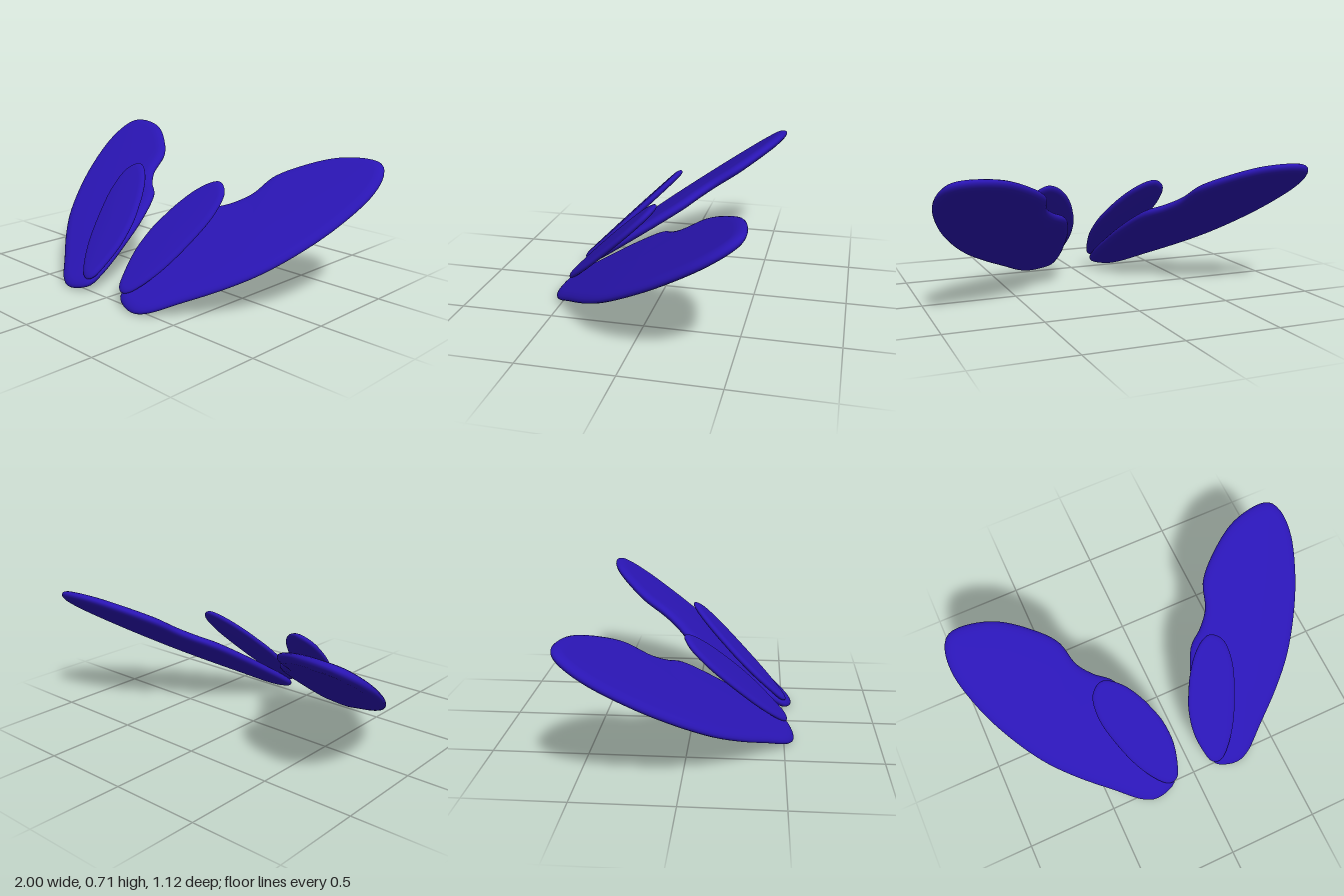
import * as THREE from 'three';

const material = new THREE.MeshStandardMaterial({ color: 0x2a15b4 });

// Outlines seen from above as [x, z], tip first, then inner edge, base and outer edge.
const WINGS = [
  {
    name: 'LargeWing', half: 0.027, round: 0.05, centre: [0.52, 0],
    // plane: y = height + slopeZ * z + slopeX * (x - centreX)
    height: 0.36, slopeZ: -0.669, slopeX: -0.07,
    outline: [
      [0.88, -0.56], [0.7, -0.525], [0.54, -0.43], [0.425, -0.32], [0.385, -0.2],
      [0.32, -0.125], [0.235, -0.06], [0.17, 0.08], [0.13, 0.25], [0.11, 0.42],
      [0.125, 0.51], [0.18, 0.54], [0.26, 0.55], [0.33, 0.525], [0.46, 0.42],
      [0.62, 0.285], [0.75, 0.15], [0.87, -0.03], [0.95, -0.2], [0.997, -0.38],
      [0.985, -0.49], [0.945, -0.545],
    ],
  },
  {
    name: 'SmallWing', half: 0.017, round: 0.03, centre: [0.23, 0.25],
    height: 0.33, slopeZ: -0.98, slopeX: -0.05,
    outline: [
      [0.32, -0.02], [0.27, -0.01], [0.2, 0.04], [0.14, 0.115], [0.112, 0.165],
      [0.078, 0.24], [0.062, 0.35], [0.085, 0.46], [0.105, 0.5], [0.135, 0.515],
      [0.18, 0.505], [0.28, 0.4], [0.36, 0.24], [0.395, 0.11], [0.38, 0.02],
    ],
  },
];

// Thin plate with a rolled rim, swept as rings from top centre over the rim to bottom centre.
function wingGeometry(wing, side) {
  const N = 120;
  const curve = new THREE.CatmullRomCurve3(
    wing.outline.map(([x, z]) => new THREE.Vector3(x, 0, z)), true, 'centripetal');
  const [cx, cz] = wing.centre;
  const normal = new THREE.Vector3(-wing.slopeX, 1, -wing.slopeZ).normalize();
  const planeY = wing.slopeZ === 0 ? 0 : wing.height - wing.slopeZ * cz;

  // ring profile: inset from the outline, pull towards the centre, offset along the normal
  const top = [[1, 1.15], [0.6, 1.12], [0.3, 1.07]].map(([pull, lift]) => [wing.round, pull, lift]);
  const rim = [];
  for (let k = 0; k <= 5; k++) {
    const a = (k / 5) * Math.PI / 2;
    rim.push([wing.round * (1 - Math.sin(a)), 0, Math.cos(a)]);
  }
  const upper = [...top, ...rim];
  const lower = upper.slice(0, -1).reverse().map(([i, p, l]) => [i, p, -l]);
  const rings = [...upper, ...lower];

  const positions = [], index = [];
  for (const [inset, pull, lift] of rings) {
    for (let i = 0; i < N; i++) {
      const p = curve.getPointAt(i / N), t = curve.getTangentAt(i / N);
      const x = THREE.MathUtils.lerp(p.x + t.z * inset, cx, pull);
      const z = THREE.MathUtils.lerp(p.z - t.x * inset, cz, pull);
      const y = planeY + wing.slopeZ * z + wing.slopeX * (x - cx);
      const h = lift * wing.half;
      positions.push(side * (x + normal.x * h), y + normal.y * h, z + normal.z * h);
    }
  }
  for (let r = 0; r < rings.length - 1; r++) {
    for (let i = 0; i < N; i++) {
      const a = r * N + i, b = r * N + (i + 1) % N, c = a + N, d = b + N;
      if (side > 0) index.push(a, c, d, a, d, b);
      else index.push(a, d, c, a, b, d);
    }
  }
  const geometry = new THREE.BufferGeometry();
  geometry.setAttribute('position', new THREE.Float32BufferAttribute(positions, 3));
  geometry.setIndex(index);
  geometry.computeVertexNormals();
  return geometry;
}

export function createModel() {
  const model = new THREE.Group();
  model.name = 'wings';
  for (const [label, side] of [['left', 1], ['right', -1]]) {
    const pair = new THREE.Group();
    pair.name = label + 'WingPair';
    for (const wing of WINGS) {
      const mesh = new THREE.Mesh(wingGeometry(wing, side), material);
      mesh.name = label + wing.name;
      pair.add(mesh);
    }
    model.add(pair);
  }
  return model;
}
